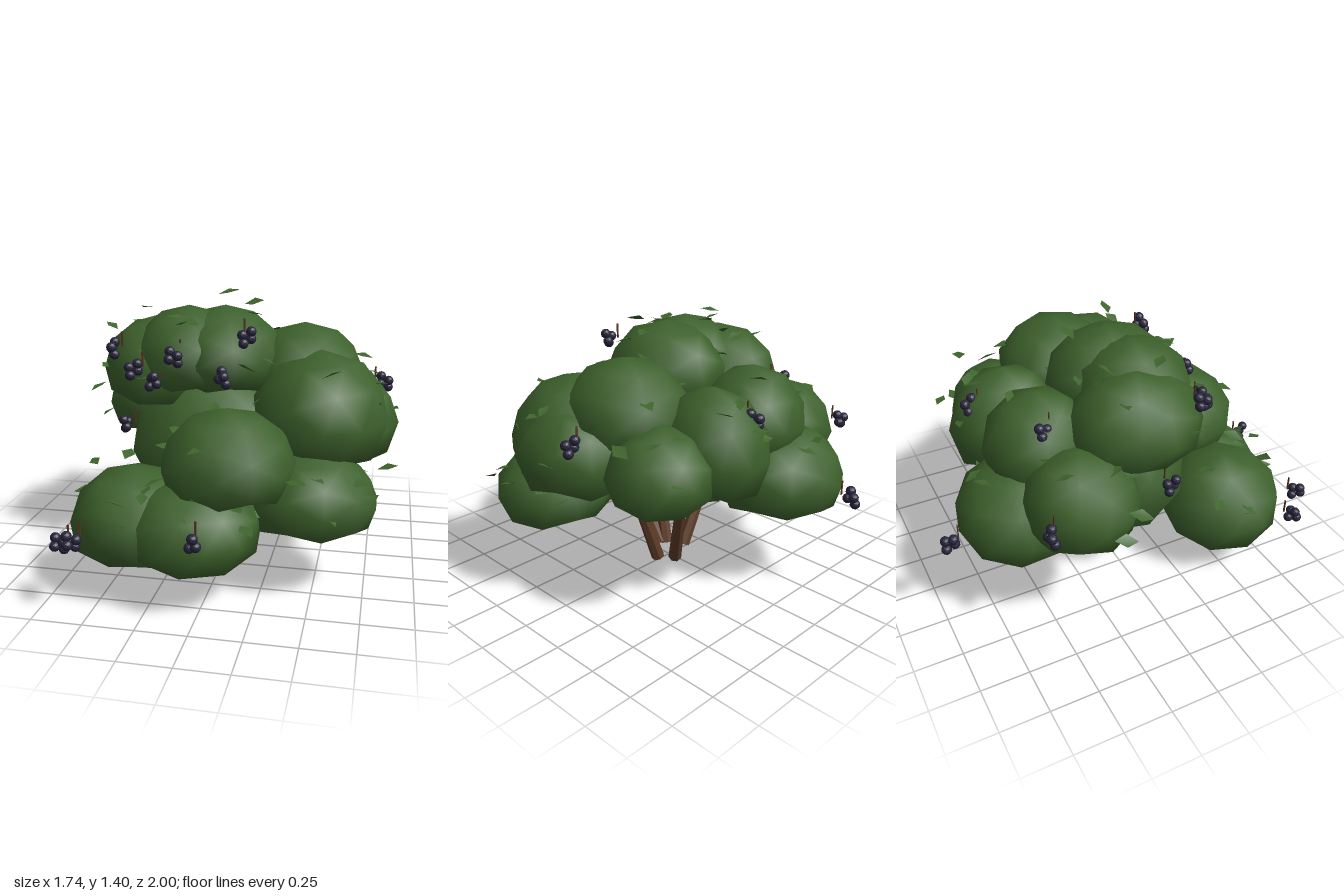
import * as THREE from 'three';
import { mergeVertices } from 'three/addons/utils/BufferGeometryUtils.js';

const mat = (name, color, extra = {}) => {
  const m = new THREE.MeshStandardMaterial({ color, ...extra });
  m.name = name;
  return m;
};

// small seeded random
let seed = 11;
const rnd = () => {
  seed = (seed * 16807) % 2147483647;
  return seed / 2147483647;
};

// foliage clumps: x, bottom, top, z, radius x, radius z, underside taper
const CLUMPS = [
  [0.09, 0.50, 0.92, 0.52, 0.32, 0.31, 0.94],
  [-0.36, 0.18, 0.62, 0.56, 0.32, 0.32, 0.84],
  [-0.07, 0.21, 0.60, 0.60, 0.33, 0.33, 0.86],
  [0.48, 0.32, 0.70, 0.39, 0.315, 0.30, 0.94],
  [0.49, 0.63, 1.14, 0.14, 0.34, 0.355, 0.97],
  [0.56, 0.62, 1.06, 0.06, 0.31, 0.33, 0.97],
  [0.38, 0.82, 1.24, -0.08, 0.31, 0.31, 0.94],
  [-0.02, 0.93, 1.335, 0.04, 0.29, 0.32, 0.92],
  [-0.20, 0.93, 1.335, 0.08, 0.29, 0.29, 0.92],
  [-0.38, 0.85, 1.27, 0.00, 0.29, 0.33, 0.90],
  [-0.17, 0.72, 1.16, -0.42, 0.27, 0.27, 0.94],
  [0.17, 0.64, 1.13, -0.46, 0.25, 0.29, 0.94],
  [0.46, 0.62, 0.99, -0.40, 0.27, 0.25, 0.94],
  [-0.25, 0.44, 0.86, -0.56, 0.32, 0.32, 0.90],
  [-0.50, 0.58, 1.00, -0.35, 0.28, 0.28, 0.97],
  [-0.08, 0.36, 1.00, 0.05, 0.44, 0.34, 0.80],
];

// berry cluster centres
const BERRIES = [
  [-0.32, 0.55, -0.95], [-0.73, 0.77, -0.60], [0.12, 1.00, -0.67], [-0.35, 1.05, -0.46],
  [0.80, 0.92, -0.16], [-0.65, 0.31, 0.85], [-0.55, 0.37, 0.94], [0.02, 0.42, 0.95],
  [-0.55, 0.69, 0.12], [-0.56, 1.13, 0.26], [-0.42, 1.05, 0.36], [-0.31, 1.00, 0.39],
  [-0.21, 1.12, 0.38], [0.03, 1.03, 0.38], [0.14, 1.22, 0.31],
];

// loose leaves standing clear of the clumps
const LOOSE_LEAVES = [
  [0.22, 1.00, -0.78], [0.67, 0.98, -0.54], [0.69, 0.92, -0.37], [-0.82, 0.81, -0.20],
  [0.84, 0.60, 0.30], [0.76, 0.53, 0.59], [0.60, 0.45, 0.66], [0.43, 0.62, 0.66],
  [0.24, 0.46, 0.87], [-0.06, 0.50, 0.88], [-0.38, 0.52, 0.82], [-0.65, 0.55, 0.35],
  [-0.64, 0.43, 0.54], [0.76, 1.02, 0.08], [0.14, 1.36, 0.10], [-0.42, 1.32, 0.10],
  [-0.05, 1.37, -0.20], [-0.57, 1.24, 0.22], [-0.78, 0.65, -0.25], [0.52, 0.62, 0.60],
  [-0.22, 0.60, 0.72], [-0.45, 0.62, 0.40], [0.24, 1.10, 0.28], [-0.24, 0.57, 0.85],
];

// rounded clump with a flattened, drawn-in underside
function clumpGeometry(taper) {
  let g = new THREE.IcosahedronGeometry(1, 1);
  g.deleteAttribute('uv');
  g.deleteAttribute('normal');
  g = mergeVertices(g, 1e-4);
  g.rotateY(rnd() * Math.PI * 2);
  const p = g.attributes.position;
  for (let i = 0; i < p.count; i++) {
    if (p.getY(i) < -0.5) p.setXYZ(i, p.getX(i) * taper, -0.5, p.getZ(i) * taper);
  }
  return g;
}

// diamond leaf lying in the xz plane, slightly folded
function leafGeometry() {
  const g = new THREE.BufferGeometry();
  g.setAttribute('position', new THREE.Float32BufferAttribute(
    [-0.05, 0, 0, 0, 0.006, 0.03, 0.05, 0, 0, 0, 0.006, -0.03], 3));
  g.setIndex([0, 1, 2, 0, 2, 3]);
  g.computeVertexNormals();
  return g;
}

export function createModel() {
  seed = 11;
  const root = new THREE.Group();
  root.name = 'berryBush';
  const green = mat('foliageGreen', 0x3d612c);
  const leafGreen = mat('leafGreen', 0x3f652d, { side: THREE.DoubleSide });
  const bark = mat('barkBrown', 0x5e3d28, { flatShading: true });
  const berry = mat('berryDark', 0x26243a, { flatShading: true });
  const stalk = mat('stalkBrown', 0x5c3424);

  const group = (name) => {
    const g = new THREE.Group();
    g.name = name;
    root.add(g);
    return g;
  };
  const add = (parent, name, geo, material) => {
    const m = new THREE.Mesh(geo, material);
    m.name = name;
    parent.add(m);
    return m;
  };

  // foliage
  const foliage = group('foliage');
  for (const [x, bottom, top, z, rx, rz, taper] of CLUMPS) {
    const h = (top - bottom) / 1.5;
    const m = add(foliage, 'leafClump', clumpGeometry(taper), green);
    m.geometry.scale(rx * 1.04, h, rz * 1.04);
    m.geometry.computeVertexNormals();
    m.position.set(x, bottom + h / 2, z);
  }

  // woody stems fanning out from the ground
  const stems = group('stems');
  const up = new THREE.Vector3(0, 1, 0);
  for (const [a, b] of [
    [[0.09, 0.01, 0.00], [0.27, 0.50, 0.01]],
    [[0.025, 0.01, -0.07], [0.23, 0.55, -0.32]],
    [[-0.115, 0.01, 0.00], [-0.40, 0.55, 0.00]],
    [[-0.03, 0.01, 0.10], [-0.05, 0.33, 0.34]],
    [[-0.06, 0.01, 0.08], [-0.14, 0.46, 0.25]],
  ]) {
    const from = new THREE.Vector3(...a), to = new THREE.Vector3(...b);
    const dir = to.clone().sub(from);
    const m = add(stems, 'stem', new THREE.CylinderGeometry(0.026, 0.037, dir.length(), 7), bark);
    m.position.copy(from).addScaledVector(dir, 0.5);
    m.quaternion.setFromUnitVectors(up, dir.normalize());
  }

  // berries, a few to each hanging cluster, with a flat stalk on the inner side
  const berryGeo = new THREE.IcosahedronGeometry(0.026, 1);
  const stalkGeo = new THREE.BoxGeometry(0.01, 0.075, 0.004);
  const berries = group('berries');
  for (const [x, y, z] of BERRIES) {
    const cluster = new THREE.Group();
    cluster.name = 'berryCluster';
    cluster.position.set(x, y, z);
    berries.add(cluster);
    const turn = rnd() * 6.28;
    for (let i = 0; i < 4; i++) {
      const t = turn + i * 2.8;
      add(cluster, 'berry', berryGeo, berry)
        .position.set(Math.cos(t) * 0.022, 0.028 - i * 0.019, Math.sin(t) * 0.022);
    }
    const inward = -0.05 / Math.hypot(x, z);
    add(cluster, 'stalk', stalkGeo, stalk).position.set(x * inward, 0.045, z * inward);
  }

  // leaves scattered over the clumps
  const leafGeo = leafGeometry();
  const leaves = group('leaves');
  const addLeaf = (x, y, z) => {
    const m = add(leaves, 'leaf', leafGeo, leafGreen);
    m.position.set(x, y, z);
    m.rotation.set((rnd() - 0.5) * 0.9, rnd() * 6.28, (rnd() - 0.5) * 0.9, 'YXZ');
    m.scale.setScalar(0.85 + rnd() * 0.4);
  };
  LOOSE_LEAVES.forEach((p) => addLeaf(...p));
  for (const [x, bottom, top, z, rx, rz] of CLUMPS) {
    const h = (top - bottom) / 1.5;
    for (let i = 0; i < 5; i++) {
      const a = rnd() * 6.28, e = rnd() * 1.1;
      addLeaf(x + Math.cos(a) * Math.cos(e) * rx, bottom + h / 2 + Math.sin(e) * h,
        z + Math.sin(a) * Math.cos(e) * rz);
    }
  }
  return root;
}
